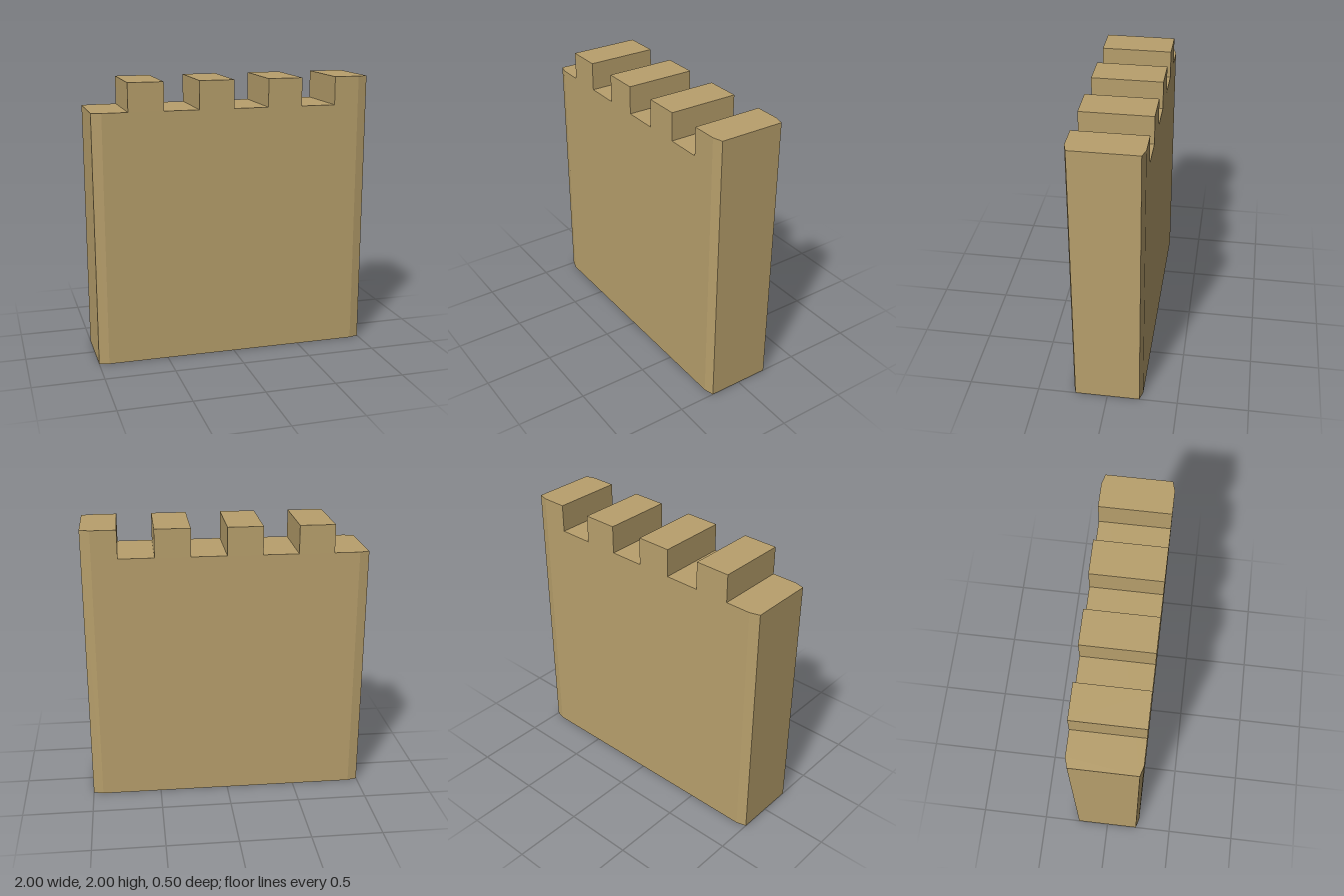
import * as THREE from 'three';

const HALF = 1, DEPTH = 0.25;          // half length and half thickness
const CUT_X = 0.07, CUT_Z = 0.02;      // shallow chamfer on the end corners
const WALL_TOP = 1.8, MERLON_TOP = 2, STEP = 0.25;

// Plan outline of the wall between x0 and x1, chamfered only at the wall ends
function planSlice(x0, x1) {
  const points = [];
  const end = (x, atEnd, sign) => {
    const corners = atEnd
      ? [[x - sign * CUT_X, DEPTH], [x, DEPTH - CUT_Z], [x, -DEPTH + CUT_Z], [x - sign * CUT_X, -DEPTH]]
      : [[x, DEPTH], [x, -DEPTH]];
    // right end runs upward, left end downward: counter-clockwise outline
    if (sign > 0) corners.reverse();
    corners.forEach(([px, py]) => points.push(new THREE.Vector2(px, py)));
  };
  end(x1, x1 === HALF, 1);
  end(x0, x0 === -HALF, -1);
  return new THREE.Shape(points);
}

// Upright block of the wall between two x positions and two heights
function block(name, x0, x1, y0, y1, material) {
  const geometry = new THREE.ExtrudeGeometry(planSlice(x0, x1), { depth: y1 - y0, bevelEnabled: false });
  geometry.rotateX(-Math.PI / 2).translate(0, y0, 0);
  const mesh = new THREE.Mesh(geometry, material);
  mesh.name = name;
  return mesh;
}

export function createModel() {
  const model = new THREE.Group();
  model.name = 'battlementWall';
  const stone = new THREE.MeshStandardMaterial({ color: 0xb8a06c });
  stone.name = 'sandstone';

  // Main wall
  model.add(block('wall', -HALF, HALF, 0, WALL_TOP, stone));

  // Merlons in every second step, the last one flush with the left end
  for (let i = 0; i < 4; i++) {
    const x0 = -HALF + STEP * (2 * i + 1);
    model.add(block(`merlon${i + 1}`, x0, x0 + STEP, WALL_TOP, MERLON_TOP, stone));
  }
  return model;
}
